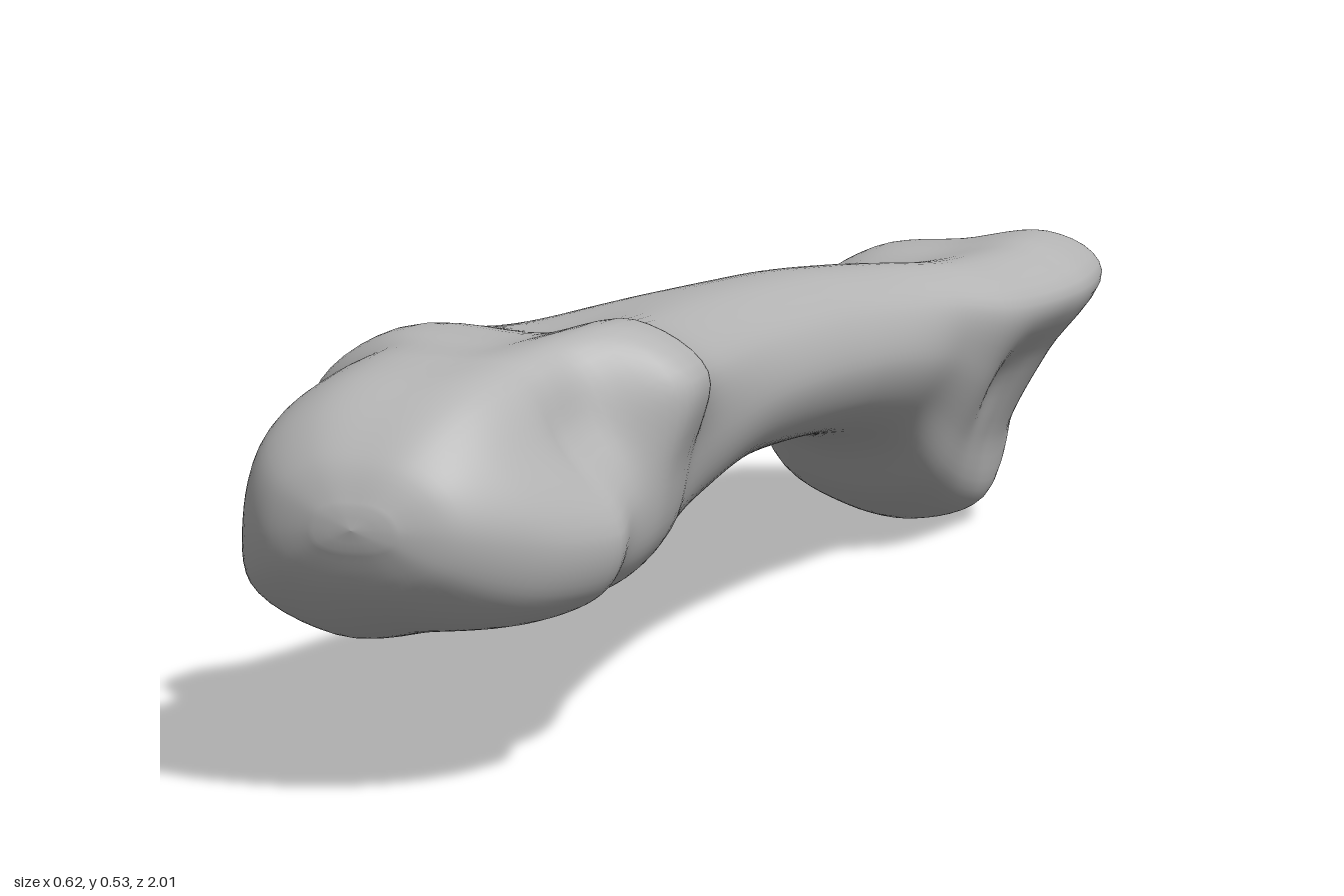
import * as THREE from 'three';

// Closed cross-section outlines, clockwise from the -x side, scaled to their own box
const outline = (pts) => {
  const v = pts.map(([x, y]) => new THREE.Vector2(x, y));
  const box = new THREE.Box2().setFromPoints(v);
  const size = box.getSize(new THREE.Vector2());
  return v.map((p) => p.sub(box.min).divide(size));
};

const outlines = [
  // wedge-shaped base, its top sloping down to -x
  outline([[-0.108, 0.2], [-0.108, 0.335], [-0.03, 0.395], [0.1, 0.412], [0.225, 0.425], [0.31, 0.36],
    [0.245, 0.255], [0.185, 0.14], [0.155, 0.035], [0.06, 0], [-0.03, 0.012], [-0.13, 0.075]]),
  // shaft
  outline([[-0.155, 0.33], [-0.15, 0.39], [-0.11, 0.455], [-0.04, 0.48], [0.04, 0.475], [0.11, 0.43],
    [0.135, 0.36], [0.11, 0.3], [0.06, 0.265], [-0.01, 0.25], [-0.07, 0.255], [-0.125, 0.28]]),
  // neck with two tubercles
  outline([[-0.29, 0.33], [-0.315, 0.425], [-0.215, 0.51], [-0.05, 0.508], [0.07, 0.533], [0.165, 0.47],
    [0.14, 0.36], [0.115, 0.26], [0.06, 0.205], [-0.06, 0.195], [-0.17, 0.18], [-0.27, 0.22]]),
  // head
  outline([[-0.29, 0.35], [-0.255, 0.45], [-0.18, 0.495], [-0.08, 0.5], [0.01, 0.49], [0.067, 0.41],
    [0.125, 0.31], [0.11, 0.25], [0.06, 0.215], [-0.06, 0.195], [-0.18, 0.175], [-0.305, 0.24]]),
  // rounded front of the head
  outline([[0, 0.42], [0.07, 0.78], [0.27, 0.97], [0.5, 1], [0.74, 0.96], [0.92, 0.77],
    [1, 0.48], [0.94, 0.2], [0.76, 0.05], [0.5, 0], [0.25, 0.03], [0.06, 0.17]]),
];

// Stations along the bone: z, x min, x max, y min, y max, outline blend
const stations = [
  [-0.935, -0.06, 0.26, 0.12, 0.405, 0],
  [-0.915, -0.1, 0.292, 0.065, 0.417, 0],
  [-0.88, -0.122, 0.306, 0.025, 0.424, 0],
  [-0.82, -0.13, 0.31, 0.002, 0.425, 0],
  [-0.75, -0.125, 0.3, 0.015, 0.42, 0],
  [-0.66, -0.115, 0.285, 0.045, 0.42, 0.15],
  [-0.57, -0.11, 0.265, 0.09, 0.425, 0.35],
  [-0.48, -0.112, 0.225, 0.165, 0.435, 0.6],
  [-0.38, -0.115, 0.195, 0.205, 0.445, 0.85],
  [-0.2, -0.12, 0.155, 0.235, 0.462, 1],
  [0.1, -0.175, 0.128, 0.25, 0.48, 1.1],
  [0.35, -0.225, 0.13, 0.232, 0.495, 1.45],
  [0.5, -0.26, 0.145, 0.215, 0.513, 1.8],
  [0.58, -0.3, 0.165, 0.203, 0.53, 2],
  [0.65, -0.312, 0.165, 0.195, 0.533, 2.1],
  [0.71, -0.292, 0.128, 0.185, 0.52, 2.6],
  [0.78, -0.308, 0.122, 0.178, 0.51, 3],
  [0.86, -0.308, 0.088, 0.19, 0.495, 3.3],
  [0.92, -0.29, 0.045, 0.222, 0.467, 3.7],
  [0.97, -0.24, -0.01, 0.272, 0.423, 4],
  [0.995, -0.17, -0.075, 0.325, 0.375, 4],
];

// Soft local pushes: centre, radius, offset
const pushes = [
  [[0.262, 0.375, -0.93], 0.08, [0, 0, -0.072]], // rear spur
  [[0.21, 0.25, -0.68], 0.07, [-0.02, 0, 0]], // groove beside the base
  [[-0.12, 0.25, -0.65], 0.07, [0.015, 0, 0]],
  [[-0.29, 0.42, 0.75], 0.055, [0.025, 0, 0]], // pits beside the head
  [[0.08, 0.42, 0.74], 0.065, [-0.022, 0, 0]],
].map(([c, r, d]) => ({ c: new THREE.Vector3(...c), r, d: new THREE.Vector3(...d) }));

function boneGeometry(rings = 120, sides = 72) {
  const tracks = [1, 2, 3, 4, 5].map(
    (k) => new THREE.SplineCurve(stations.map((s) => new THREE.Vector2(s[0], s[k]))));

  // One ring of points, optionally shrunk toward its middle to close an end
  const ring = (u, shrink, dz) => {
    const at = tracks.map((t) => t.getPoint(u));
    const [x0, x1, y0, y1, blend] = at.map((p) => p.y);
    const b = THREE.MathUtils.clamp(blend, 0, 4);
    const i = Math.min(3, Math.floor(b));
    const loop = new THREE.CatmullRomCurve3(outlines[i].map((p, j) => {
      const q = p.clone().lerp(outlines[i + 1][j], b - i).subScalar(0.5).multiplyScalar(shrink);
      return new THREE.Vector3((x0 + x1) / 2 + q.x * (x1 - x0), (y0 + y1) / 2 + q.y * (y1 - y0), at[0].x + dz);
    }), true);
    return Array.from({ length: sides }, (_, j) => loop.getPoint(j / sides));
  };

  const loops = [];
  for (const s of [0, 0.3, 0.6, 0.85]) loops.push(ring(0, s, -0.004 * (1 - s)));
  for (let k = 0; k <= rings; k++) loops.push(ring(k / rings, 1, 0));
  for (const s of [0.6, 0]) loops.push(ring(1, s, 0.005 * (1 - s)));

  const positions = [];
  for (const p of loops.flat()) {
    const base = p.clone();
    for (const { c, r, d } of pushes) p.addScaledVector(d, Math.exp(-base.distanceToSquared(c) / (r * r)));
    positions.push(p.x, p.y, p.z);
  }

  const index = [];
  for (let i = 0; i < loops.length - 1; i++) {
    for (let j = 0; j < sides; j++) {
      const n = (j + 1) % sides;
      const a = i * sides + j, b = i * sides + n;
      index.push(a, a + sides, b, b, a + sides, b + sides);
    }
  }
  const geometry = new THREE.BufferGeometry();
  geometry.setAttribute('position', new THREE.Float32BufferAttribute(positions, 3));
  geometry.setIndex(index);
  geometry.computeVertexNormals();
  return geometry;
}

export function createModel() {
  const group = new THREE.Group();
  group.name = 'footBone';
  const grey = new THREE.MeshStandardMaterial({ color: 0xb4b4b4 });
  grey.name = 'boneGrey';
  const bone = new THREE.Mesh(boneGeometry(), grey);
  bone.name = 'bone';
  group.add(bone);
  return group;
}
